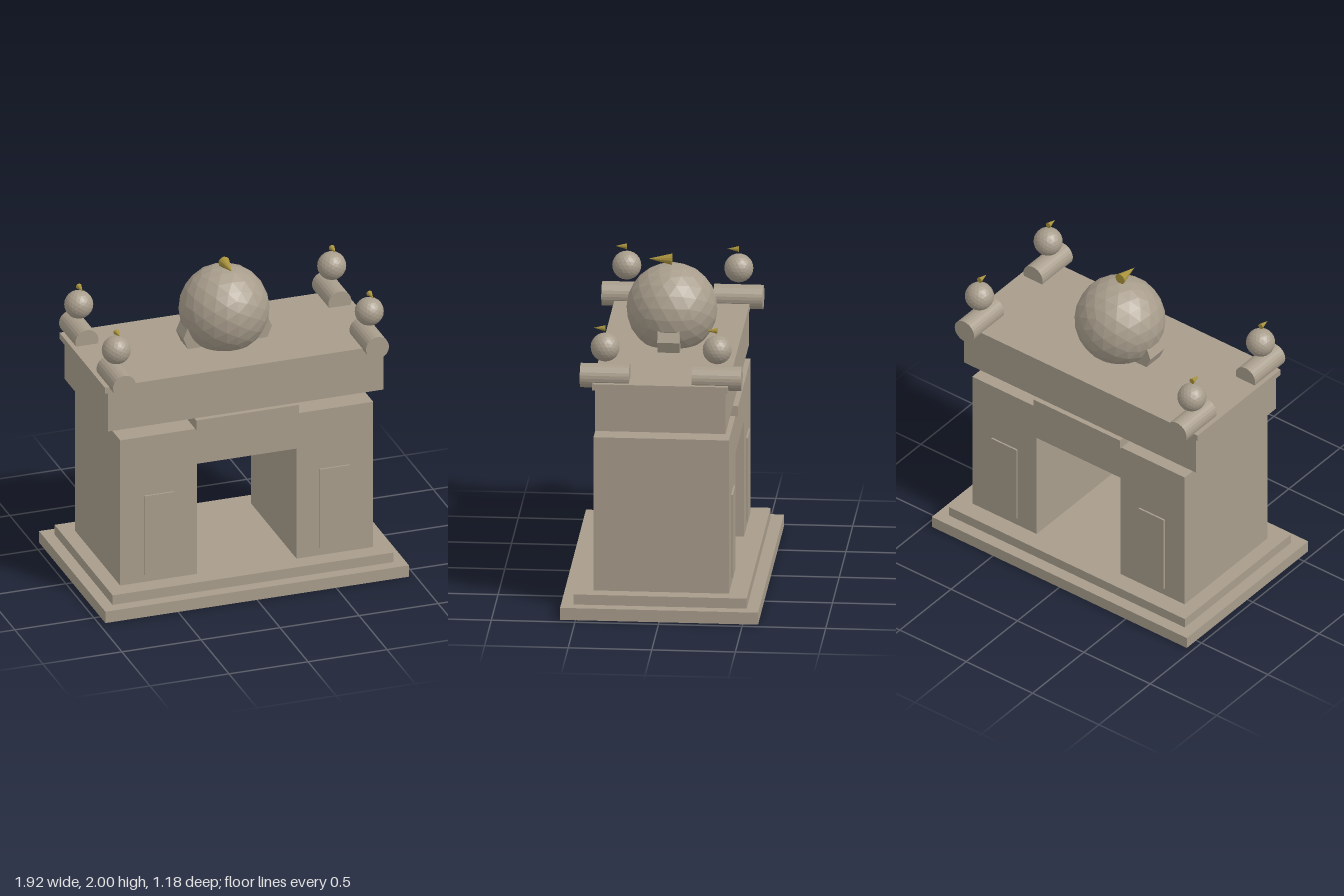
import * as THREE from 'three';

const stone = new THREE.MeshStandardMaterial({ color: 0xa89d8c, flatShading: true });
stone.name = 'stone';
const gold = new THREE.MeshStandardMaterial({ color: 0xa8923c, flatShading: true });
gold.name = 'gold';

export function createModel() {
  const model = new THREE.Group();
  model.name = 'monumentalGate';

  const add = (name, geometry, material, x, y, z) => {
    const mesh = new THREE.Mesh(geometry, material);
    mesh.name = name;
    mesh.position.set(x, y, z);
    model.add(mesh);
    return mesh;
  };
  // Box centred on x and z, given half sizes and bottom/top heights
  const slab = (name, hx, y0, y1, hz) =>
    add(name, new THREE.BoxGeometry(2 * hx, y1 - y0, 2 * hz), stone, 0, (y0 + y1) / 2, 0);
  // Cylinder or cone lying along z, pointing forward
  const alongZ = (rFront, rBack, length, sides) =>
    new THREE.CylinderGeometry(rFront, rBack, length, sides).rotateX(Math.PI / 2);
  // Forward-pointing finial with its base at z
  const finial = (name, radius, length, x, y, z) =>
    add(name, alongZ(0, radius, length, 12), gold, x, y, z + length / 2);

  // Stepped base
  slab('lowerStep', 0.96, 0, 0.075, 0.592);
  slab('upperStep', 0.888, 0.075, 0.138, 0.518);

  // Gate body with a passage through it
  const arch = new THREE.Shape([
    [-0.8, 0.138], [-0.315, 0.138], [-0.315, 0.865], [0.315, 0.865],
    [0.315, 0.138], [0.8, 0.138], [0.8, 1.097], [-0.8, 1.097],
  ].map(([x, y]) => new THREE.Vector2(x, y)));
  const body = new THREE.ExtrudeGeometry(arch, { depth: 0.81, bevelEnabled: false });
  add('gateBody', body, stone, 0, 0, -0.405);

  // Raised panels on the piers, front and back
  for (const sx of [-1, 1]) {
    for (const sz of [-1, 1]) {
      add('pierPanel', new THREE.BoxGeometry(0.19, 0.52, 0.02), stone, sx * 0.555, 0.448, sz * 0.406);
    }
  }

  // Neck, attic and cap
  slab('neck', 0.325, 1.097, 1.16, 0.422);
  slab('attic', 0.872, 1.16, 1.42, 0.39);
  slab('cap', 0.897, 1.42, 1.46, 0.405);

  // Central globe held by an eight-sided drum
  add('globe', new THREE.IcosahedronGeometry(0.272, 3), stone, 0, 1.664, 0);
  const drum = new THREE.CylinderGeometry(0.28, 0.28, 0.132, 8).rotateX(Math.PI / 2);
  add('globeDrum', drum, stone, 0, 1.53, 0);
  finial('globeFinial', 0.035, 0.14, 0, 1.966, 0);

  // Corner rollers with small globes
  for (const x of [-0.8, 0.8]) {
    for (const sz of [-1, 1]) {
      add('cornerRoller', alongZ(0.073, 0.073, 0.294, 24), stone, x, 1.485, sz * 0.335);
      add('cornerGlobe', new THREE.IcosahedronGeometry(0.087, 3), stone, x, 1.664, sz * 0.335);
      finial('cornerFinial', 0.018, 0.068, x, 1.782, sz * 0.335);
    }
  }
  return model;
}
